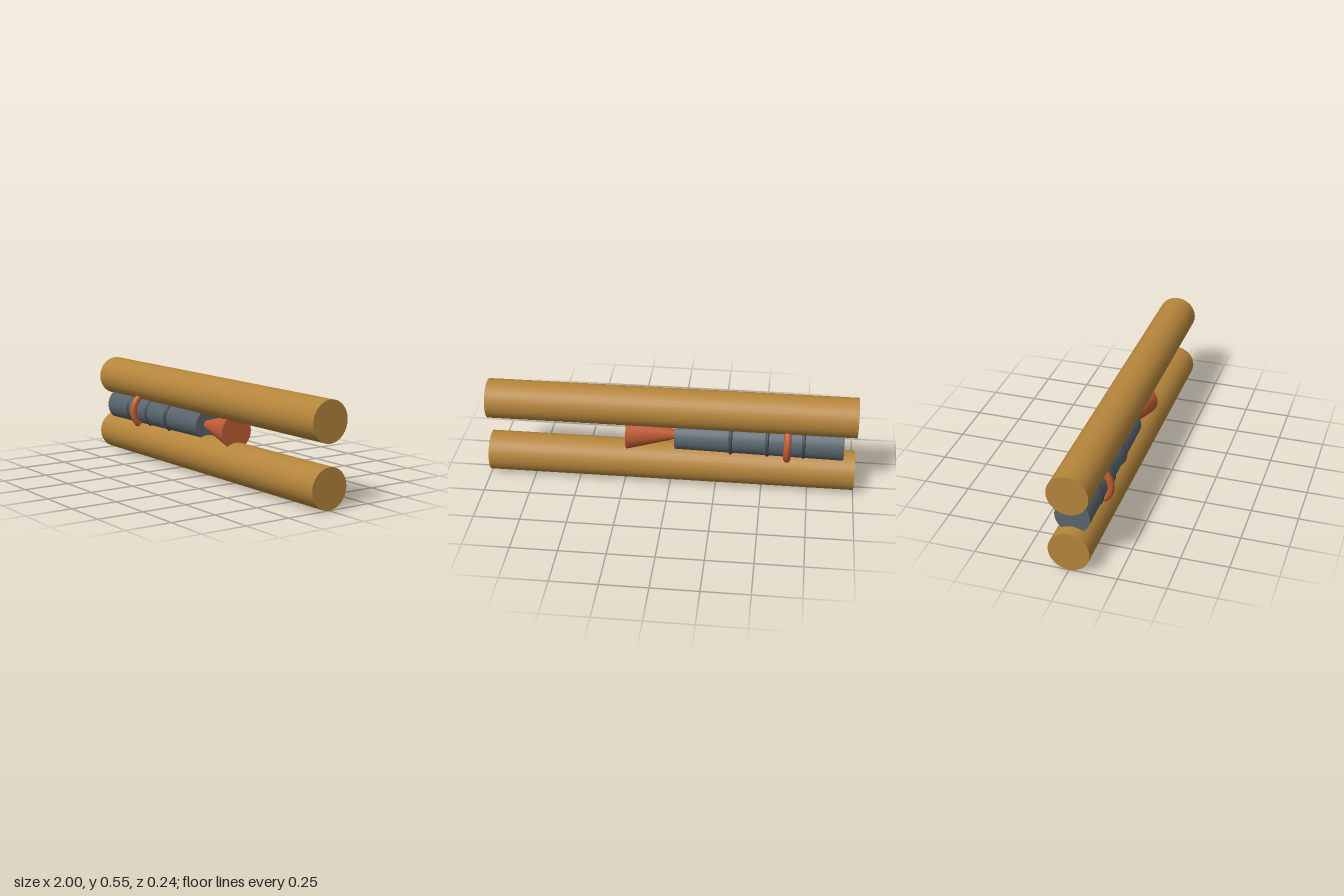
import * as THREE from 'three';

const mat = (color) => new THREE.MeshStandardMaterial({ color });

export function createModel() {
  const model = new THREE.Group();
  const wood = mat(0xb5853b), steel = mat(0x59656e), dark = mat(0x404a52), orange = mat(0xc05c33);
  const axisY = 0.273;

  const add = (name, geometry, material, x, y) => {
    const mesh = new THREE.Mesh(geometry, material);
    mesh.name = name;
    mesh.position.set(x, y, 0);
    model.add(mesh);
  };

  // Round bar along x, from radius r0 at x0 to radius r1 at x1
  const bar = (name, x0, x1, r0, r1, y, material) => {
    const geometry = new THREE.CylinderGeometry(r1, r0, x1 - x0, 32).rotateZ(-Math.PI / 2);
    add(name, geometry, material, (x0 + x1) / 2, y);
  };

  // Ring around the x axis
  const ring = (name, x, radius, tube, material) =>
    add(name, new THREE.TorusGeometry(radius, tube, 12, 48).rotateY(Math.PI / 2), material, x, axisY);

  // Two parallel rails
  bar('lowerRail', -1, 1, 0.108, 0.108, 0.108, wood);
  bar('upperRail', -1, 1, 0.108, 0.108, 0.438, wood);

  // Slightly tapered body held between the rails
  bar('body', -0.935, -0.025, 0.092, 0.079, axisY, steel);

  // Thin bands and the thick collar
  [[-0.72, 0.084], [-0.525, 0.084], [-0.328, 0.083]].forEach(([x, r], i) =>
    ring(`band${i + 1}`, x, r, 0.01, dark));
  ring('collar', -0.633, 0.101, 0.02, orange);

  // Flared nozzle
  bar('nozzle', -0.03, 0.24, 0.024, 0.095, axisY, orange);

  return model;
}
